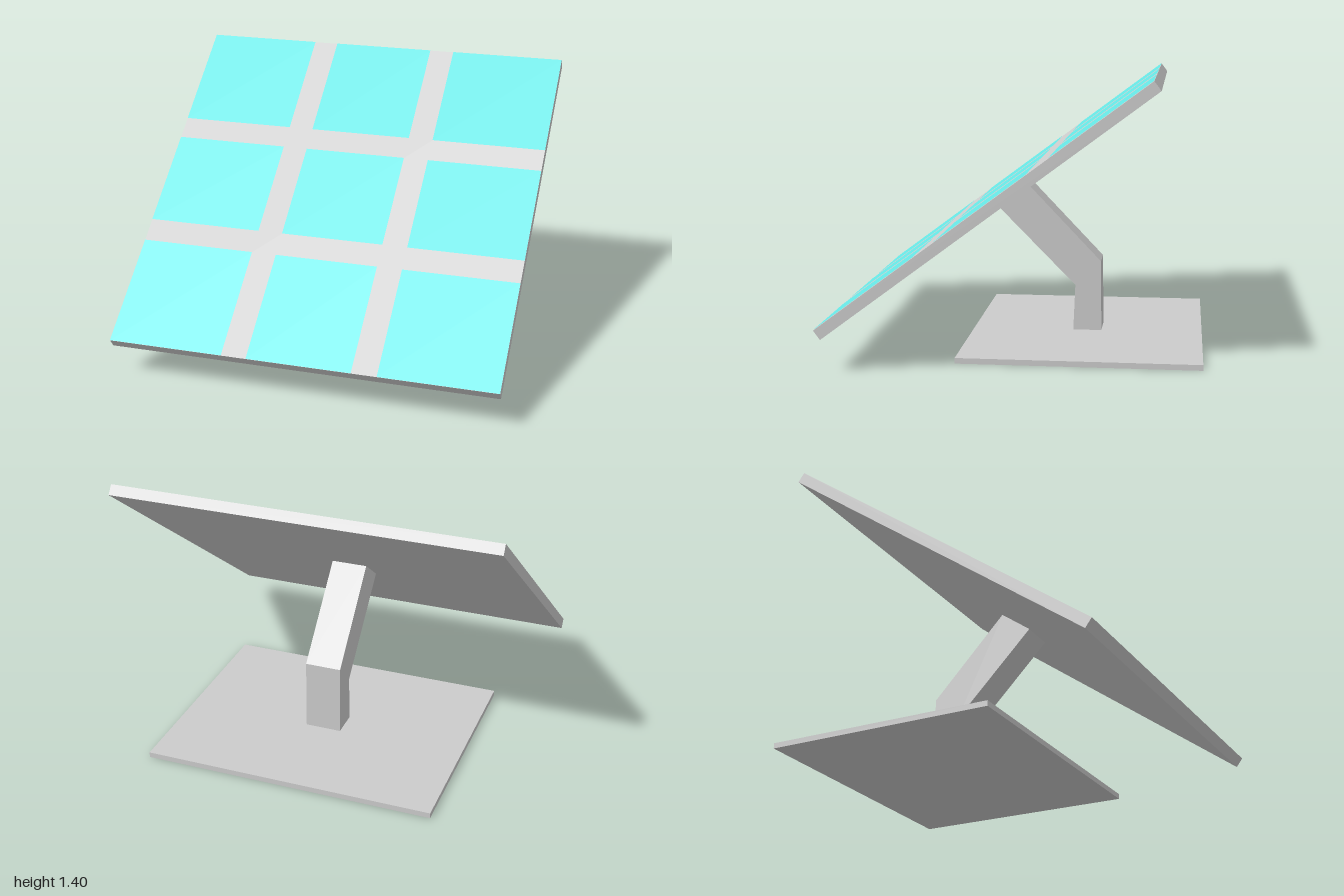
import * as THREE from 'three';

const grey = new THREE.MeshStandardMaterial({ color: 0xcccccc, flatShading: true });
const cyan = new THREE.MeshStandardMaterial({ color: 0x66e6e4, flatShading: true });

function addMesh(parent, name, geometry, material, x = 0, y = 0, z = 0) {
  const mesh = new THREE.Mesh(geometry, material);
  mesh.name = name;
  mesh.position.set(x, y, z);
  parent.add(mesh);
  return mesh;
}

export function createModel() {
  const model = new THREE.Group();
  model.name = 'solarPanel';

  // Flat rectangular foot
  addMesh(model, 'basePlate', new THREE.BoxGeometry(1.52, 0.028, 1.21), grey, 0, 0.014, -0.32);

  // Bent arm: side profile as [z, y], extruded across x
  const armWidth = 0.19;
  const profile = [
    [-0.395, 0.025], [-0.245, 0.025], [-0.255, 0.27],
    [0.17, 0.7], [0.01, 0.819], [-0.39, 0.4],
  ];
  const armShape = new THREE.Shape(profile.map(([z, y]) => new THREE.Vector2(z, y)));
  const armGeometry = new THREE.ExtrudeGeometry(armShape, { depth: armWidth, bevelEnabled: false });
  armGeometry.translate(0, 0, -armWidth / 2).rotateY(-Math.PI / 2);
  addMesh(model, 'supportArm', armGeometry, grey);

  // Tilted panel, leaning back from the vertical
  const panel = new THREE.Group();
  panel.name = 'panel';
  panel.position.set(0, 0.78, 0.107);
  panel.rotation.x = -Math.atan2(1.605, 1.195);
  model.add(panel);

  const thickness = 0.056;
  addMesh(panel, 'panelFrame', new THREE.BoxGeometry(2, 2, thickness), grey);

  // Three by three grid of cells lying on the frame's face
  const spans = [[-1, -0.4], [-0.27, 0.27], [0.4, 1]];
  for (const [x0, x1] of spans) {
    for (const [y0, y1] of spans) {
      addMesh(panel, 'solarCell', new THREE.PlaneGeometry(x1 - x0, y1 - y0), cyan,
        (x0 + x1) / 2, (y0 + y1) / 2, thickness / 2 + 0.002);
    }
  }
  return model;
}
